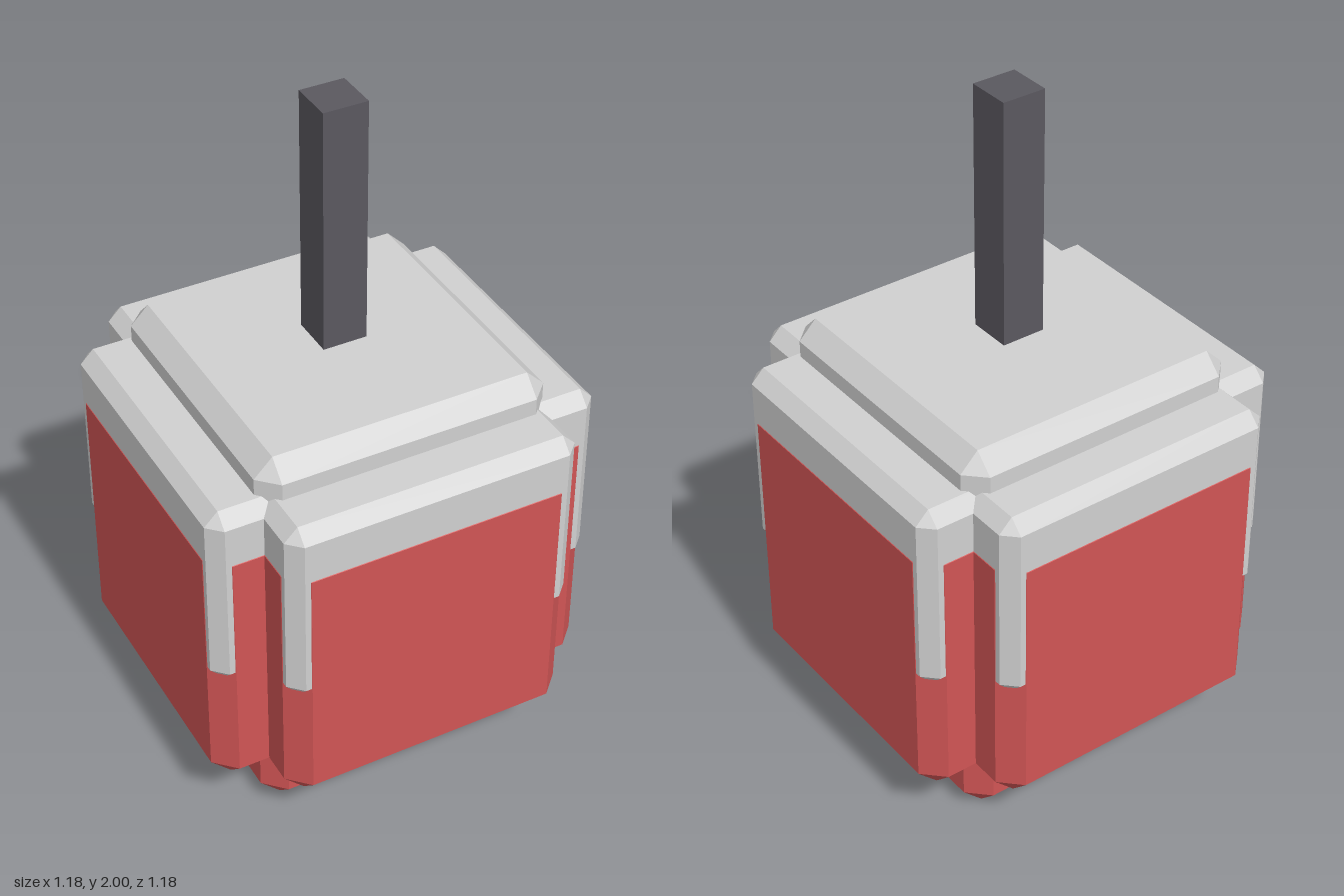
import * as THREE from 'three';
import { ConvexGeometry } from 'three/addons/geometries/ConvexGeometry.js';

// Box with every edge cut at 45 degrees: half sizes hx, hz, from y0 to y1, cut c
function chamferBox(hx, hz, y0, y1, c) {
  const hy = (y1 - y0) / 2, points = [];
  for (const sx of [-1, 1]) for (const sy of [-1, 1]) for (const sz of [-1, 1]) {
    points.push(
      new THREE.Vector3(sx * hx, sy * (hy - c), sz * (hz - c)),
      new THREE.Vector3(sx * (hx - c), sy * hy, sz * (hz - c)),
      new THREE.Vector3(sx * (hx - c), sy * (hy - c), sz * hz));
  }
  return new ConvexGeometry(points).translate(0, (y0 + y1) / 2, 0);
}

function material(name, color) {
  const m = new THREE.MeshStandardMaterial({ color });
  m.name = name;
  return m;
}

export function createModel() {
  const model = new THREE.Group();
  model.name = 'blockOrnament';
  const red = material('red', 0xd05555);
  const grey = material('lightGrey', 0xd0d0d0);
  const dark = material('darkGrey', 0x5a585f);

  const add = (name, geometry, mat) => {
    const mesh = new THREE.Mesh(geometry, mat);
    mesh.name = name;
    model.add(mesh);
  };

  // Red lower body: upright core and two crossing blocks, a hair proud of the grey
  const core = 0.44, wide = 0.592, proud = 0.0015;
  add('lowerCore', chamferBox(core, core, 0, 0.9, 0.06), red);
  add('lowerSideBlock', chamferBox(wide, core, 0.16, 1.03, 0.06), red);
  add('lowerFrontBlock', chamferBox(core, wide, 0.16, 1.03, 0.06), red);

  // Grey upper body: same cross of blocks with finer chamfers
  const c = core - proud, w = wide - proud;
  add('upperCore', chamferBox(c, c, 0.65, 1.24, 0.055), grey);
  add('upperSideBlock', chamferBox(w, c, 0.55, 1.135, 0.04), grey);
  add('upperFrontBlock', chamferBox(c, w, 0.55, 1.135, 0.04), grey);

  // Post floating just above the top
  add('post', new THREE.BoxGeometry(0.132, 0.735, 0.132).translate(0, 1.6325, 0), dark);

  return model;
}
